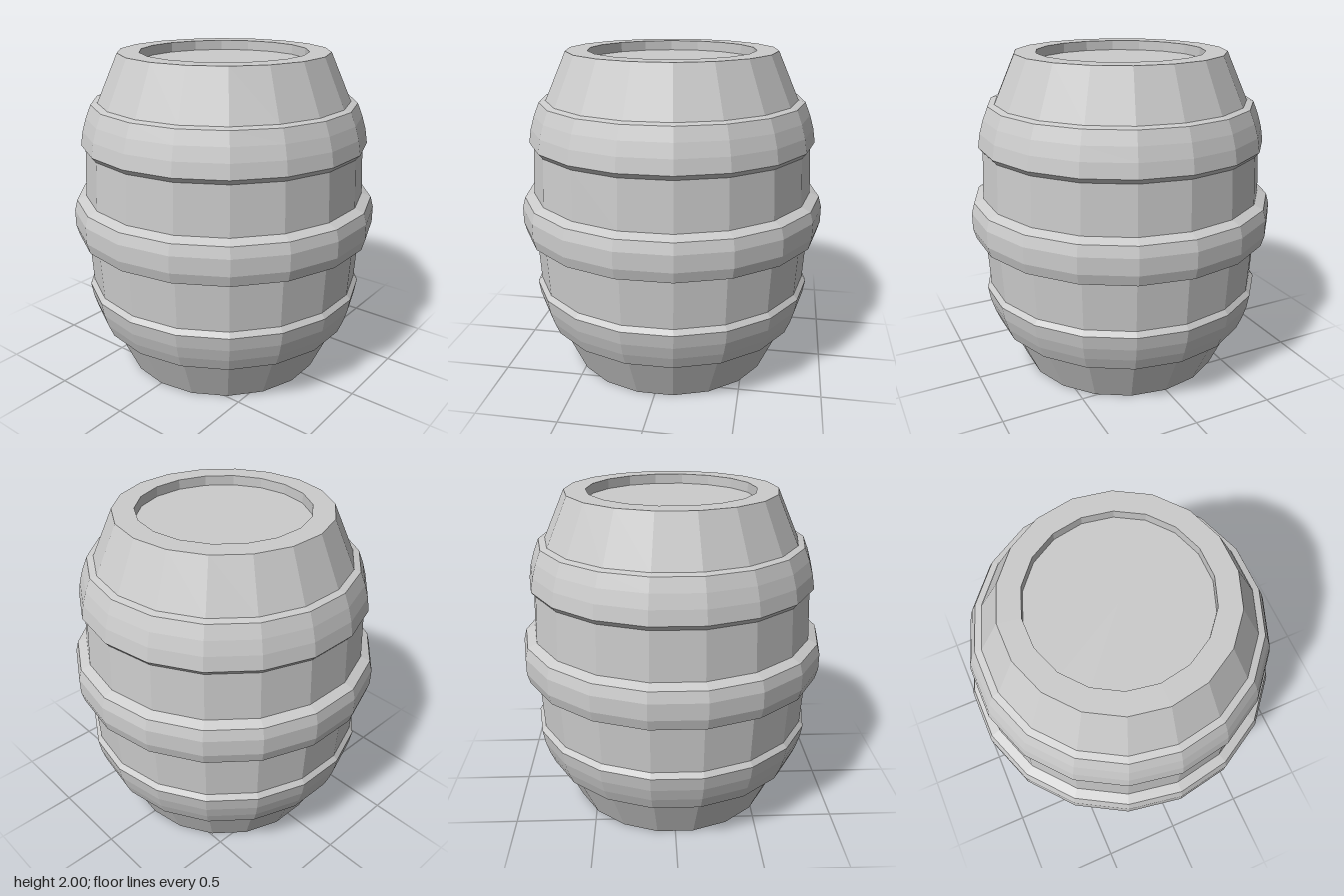
import * as THREE from 'three';

const SIDES = 18;

// Faceted solid of revolution with a corner on the +x axis; profile runs upward as [radius, y]
function turned(name, profile, material) {
  const points = profile.map(([r, y]) => new THREE.Vector2(r, y));
  const mesh = new THREE.Mesh(new THREE.LatheGeometry(points, SIDES, Math.PI / 2), material);
  mesh.name = name;
  return mesh;
}

// Mirror a profile about mid height, keeping it running upward
const flip = (profile) => profile.map(([r, y]) => [r, 2 - y]).reverse();

export function createModel() {
  const barrel = new THREE.Group();
  barrel.name = 'barrel';
  const material = new THREE.MeshStandardMaterial({ color: 0xcccccc, flatShading: true });

  // Staves: closed base, bulging side, rim and recessed lid
  const lowerSide = [[0.64, 0], [0.77, 0.29], [0.815, 0.43], [0.855, 0.57], [0.87, 0.86]];
  barrel.add(turned('staves', [
    [0, 0], ...lowerSide, ...flip(lowerSide),
    [0.51, 2], [0.51, 1.94], [0, 1.94],
  ], material));

  // Curved hoops near both ends
  const hoop = [
    [0.77, 0.287], [0.81, 0.297], [0.842, 0.375], [0.866, 0.455], [0.88, 0.54], [0.855, 0.57],
  ];
  barrel.add(turned('lowerHoop', hoop, material));
  barrel.add(turned('upperHoop', flip(hoop), material));

  // Wider hoop around the middle
  const half = [[0.87, 0.86], [0.927, 0.885], [0.945, 0.95]];
  barrel.add(turned('middleHoop', [...half, ...flip(half)], material));

  return barrel;
}
